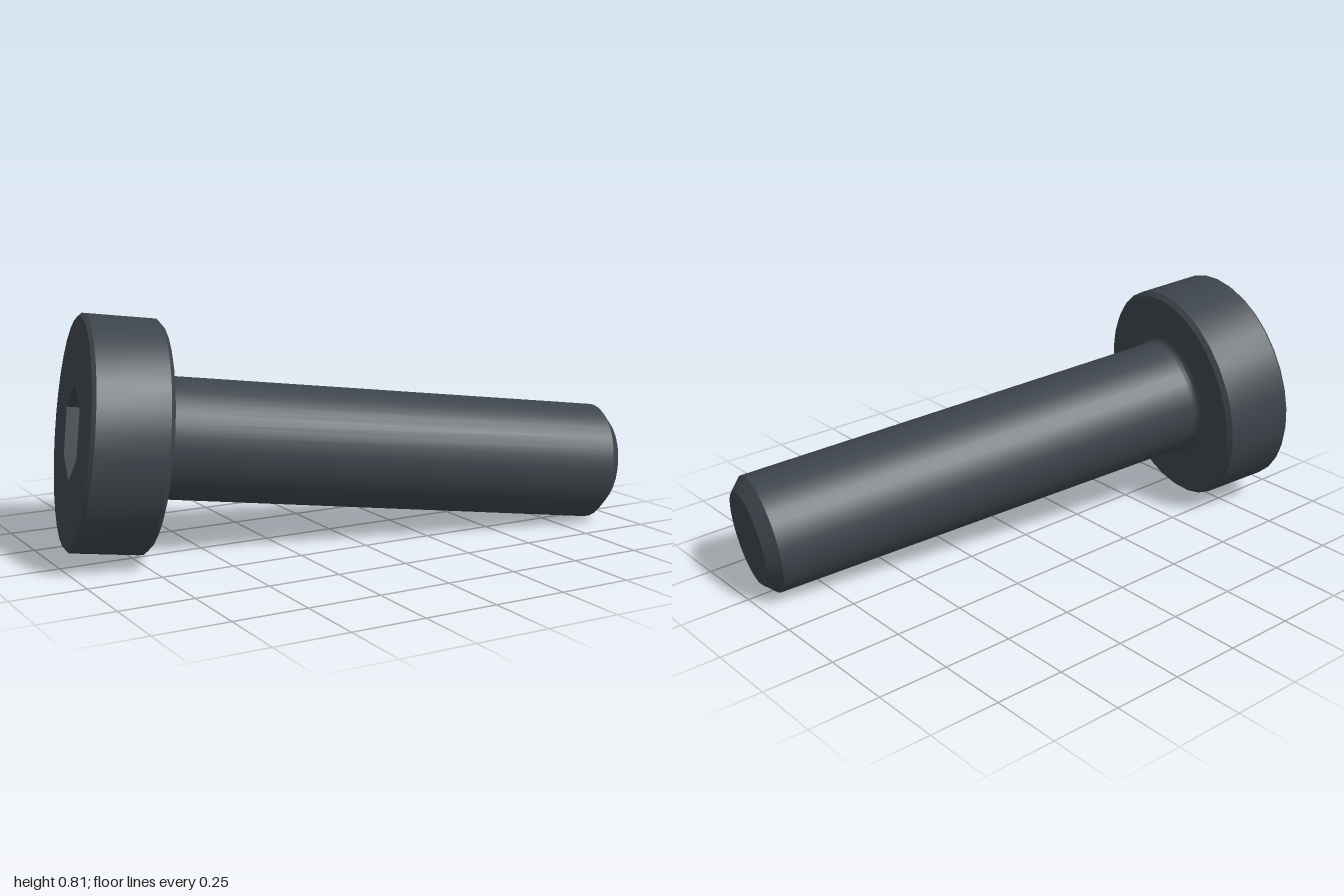
import * as THREE from 'three';
import { toCreasedNormals } from 'three/addons/utils/BufferGeometryUtils.js';

const SIDES = 32;
const SHANK_R = 0.206, TIP_R = 0.164, LENGTH = 1.921;
const HEAD_R = 0.393, HEAD_H = 0.26, FACE_R = 0.381;
const FILLET = 0.025, HEX_R = 0.16, HEX_DEPTH = 0.13, HEX_TURN = -22;

// Turned part from [radius, height] points, listed from bottom to top
function turned(profile) {
  const points = profile.map(([r, y]) => new THREE.Vector2(r, y));
  return toCreasedNormals(new THREE.LatheGeometry(points, SIDES), 0.6);
}

// Points of a regular polygon, counter-clockwise
function ring(radius, sides, startDegrees) {
  return Array.from({ length: sides }, (_, i) => {
    const a = THREE.MathUtils.degToRad(startDegrees) + (i / sides) * Math.PI * 2;
    return new THREE.Vector2(Math.cos(a) * radius, Math.sin(a) * radius);
  });
}

export function createModel() {
  const model = new THREE.Group();
  model.name = 'socketScrew';
  const steel = new THREE.MeshStandardMaterial({ color: 0x3d444b });
  steel.name = 'blackenedSteel';

  const add = (name, geometry) => {
    const mesh = new THREE.Mesh(geometry, steel);
    mesh.name = name;
    screw.add(mesh);
  };
  const screw = new THREE.Group();
  screw.name = 'screw';
  model.add(screw);

  // Shank with chamfered tip and a fillet under the head
  const shank = [
    [0, -LENGTH],
    [TIP_R, -LENGTH],
    [SHANK_R, -LENGTH + SHANK_R - TIP_R],
  ];
  for (let i = 0; i <= 6; i++) {
    const a = (i / 6) * Math.PI / 2;
    shank.push([
      SHANK_R + FILLET * (1 - Math.cos(a)),
      -HEAD_H - FILLET * (1 - Math.sin(a)),
    ]);
  }
  add('shank', turned(shank));

  // Head underside, bevels and side wall
  add('head', turned([
    [SHANK_R + FILLET, -HEAD_H],
    [0.378, -HEAD_H],
    [HEAD_R, -HEAD_H + 0.015],
    [HEAD_R, -0.012],
    [FACE_R, 0],
  ]));

  // Head face with the hexagonal opening
  const face = new THREE.Shape(ring(FACE_R, SIDES, 0));
  face.holes.push(new THREE.Path(ring(HEX_R, 6, HEX_TURN).reverse()));
  add('headFace', new THREE.ShapeGeometry(face).rotateX(-Math.PI / 2));

  // Socket walls, mirrored so that they face inward
  const walls = new THREE.CylinderGeometry(HEX_R, HEX_R, HEX_DEPTH, 6, 1, true)
    .scale(-1, 1, 1)
    .rotateY(THREE.MathUtils.degToRad(HEX_TURN - 90))
    .translate(0, -HEX_DEPTH / 2, 0)
    .toNonIndexed();
  // Reverse each triangle if the mirroring left it facing outward
  const p = walls.attributes.position;
  const [a, b, c] = [0, 1, 2].map((i) => new THREE.Vector3().fromBufferAttribute(p, i));
  const normal = b.clone().sub(a).cross(c.clone().sub(a));
  if (normal.x * (a.x + b.x + c.x) + normal.z * (a.z + b.z + c.z) > 0) walls.scale(-1, 1, 1);
  walls.computeVertexNormals();
  add('socketWalls', walls);

  // Socket floor
  add('socketFloor', new THREE.CircleGeometry(HEX_R, 6)
    .rotateX(-Math.PI / 2)
    .rotateY(THREE.MathUtils.degToRad(HEX_TURN))
    .translate(0, -HEX_DEPTH, 0));

  // Lay the screw along its slanted axis, head to the model's right
  const up = new THREE.Vector3(-1.867, 0.22, -0.398).normalize();
  const side = new THREE.Vector3(up.z, 0, -up.x).normalize();
  const depth = new THREE.Vector3().crossVectors(side, up);
  screw.quaternion.setFromRotationMatrix(new THREE.Matrix4().makeBasis(side, up, depth));
  screw.position.set(-0.907, 0.422, -0.106);
  return model;
}
